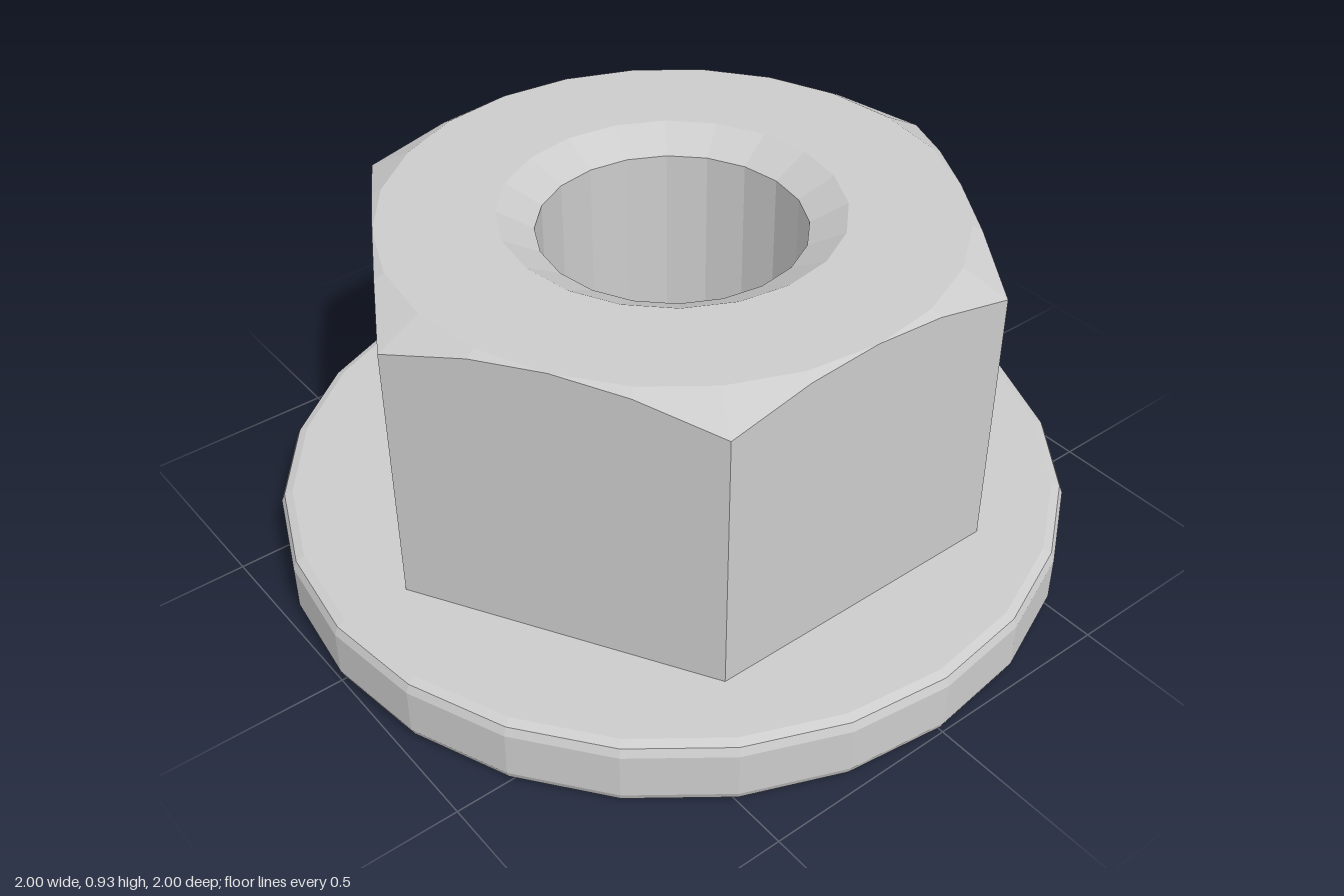
import * as THREE from 'three';

const APOTHEM = 0.697, CORNER = 0.805, TOP = 0.93, FLANGE_TOP = 0.18;
const SIDES = 24, BORE_SIDES = 20, BORE_R = 0.325, BORE_RIM = 0.415, SINK = 0.05;

const material = new THREE.MeshStandardMaterial({ color: 0xcccccc, flatShading: true });

function addMesh(group, name, geometry) {
  const faceted = geometry.toNonIndexed();
  faceted.computeVertexNormals();
  const mesh = new THREE.Mesh(faceted, material);
  mesh.name = name;
  group.add(mesh);
}

function lathe(profile, sides) {
  return new THREE.LatheGeometry(profile.map(([r, y]) => new THREE.Vector2(r, y)), sides);
}

function circle(radius, sides) {
  return Array.from({ length: sides }, (_, i) => {
    const a = (i / sides) * Math.PI * 2;
    return new THREE.Vector2(radius * Math.sin(a), radius * Math.cos(a));
  });
}

// Flat ring around the bore, facing up or down
function ring(outer, y, up) {
  const shape = new THREE.Shape(circle(outer, SIDES));
  shape.holes.push(new THREE.Path(circle(BORE_RIM, BORE_SIDES)));
  return new THREE.ShapeGeometry(shape).rotateX(up ? -Math.PI / 2 : Math.PI / 2).translate(0, y, 0);
}

// Hexagonal prism whose corners are cut by a shallow cone
function hexGeometry() {
  const geometry = lathe([[1, FLANGE_TOP], [1, TOP], [APOTHEM, TOP]], SIDES);
  const pos = geometry.attributes.position;
  const slope = 0.06 / (CORNER - APOTHEM);
  for (let i = 0; i < pos.count; i++) {
    const step = Math.floor(i / 3), row = i % 3;
    if (row === 2) continue;
    // angle away from the middle of the nearest flat
    const a = (step / SIDES) * Math.PI * 2;
    const off = a - Math.round(a / (Math.PI / 3)) * (Math.PI / 3);
    const r = APOTHEM / Math.cos(off);
    const y = row === 0 ? FLANGE_TOP : TOP - (r - APOTHEM) * slope;
    pos.setXYZ(i, r * Math.sin(a), y, r * Math.cos(a));
  }
  return geometry;
}

export function createModel() {
  const nut = new THREE.Group();
  nut.name = 'flangeNut';

  // Washer-like flange with softened rims
  addMesh(nut, 'flange', lathe([
    [0.97, 0], [0.991, 0.009], [1, 0.03],
    [1, FLANGE_TOP - 0.03], [0.991, FLANGE_TOP - 0.009], [0.97, FLANGE_TOP], [0.65, FLANGE_TOP],
  ], SIDES));
  addMesh(nut, 'flangeUnderside', ring(0.97, 0, false));

  // Hexagonal body and its flat top
  addMesh(nut, 'hexBody', hexGeometry());
  addMesh(nut, 'topFace', ring(APOTHEM, TOP, true));

  // Through bore, countersunk at both ends
  addMesh(nut, 'bore', lathe([
    [BORE_RIM, TOP], [BORE_R, TOP - SINK], [BORE_R, SINK], [BORE_RIM, 0],
  ], BORE_SIDES));

  return nut;
}
